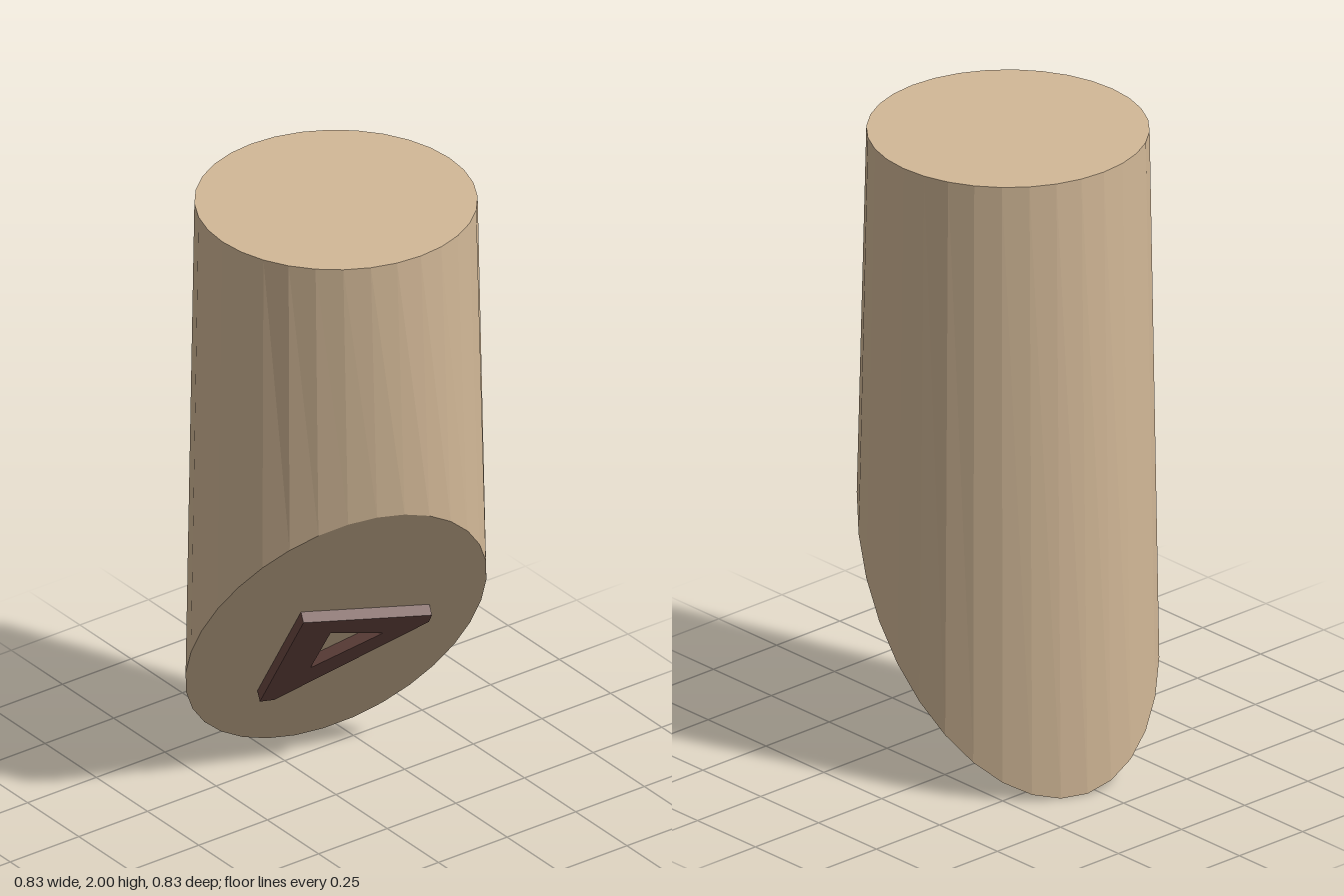
import * as THREE from 'three';

const SIDES = 32, TOP_R = 0.414, HEIGHT = 2;
// Slanted cut: y = CUT_Y + CUT_X * x + CUT_Z * z
const CUT_Y = 0.5675, CUT_X = 1.411, CUT_Z = 0.589;
// Half-widths of the lower outline along its two diagonals
const WIDE = 0.442, NARROW = 0.357;

// Round top ring, and the oval ring lying on the slanted cut
function topPoint(i) {
  const t = (i / SIDES) * Math.PI * 2;
  return [TOP_R * Math.cos(t), HEIGHT, TOP_R * Math.sin(t)];
}
function cutPoint(i) {
  const t = (i / SIDES) * Math.PI * 2, s = Math.SQRT1_2;
  const u = WIDE * s * (Math.cos(t) - Math.sin(t));
  const v = NARROW * s * (Math.cos(t) + Math.sin(t));
  const x = s * (u + v), z = s * (v - u);
  return [x, CUT_Y + CUT_X * x + CUT_Z * z, z];
}

function facets(triangles) {
  const g = new THREE.BufferGeometry();
  g.setAttribute('position', new THREE.Float32BufferAttribute(triangles.flat(), 3));
  g.computeVertexNormals();
  return g;
}

// Relief drawn in (-z, y), then laid onto the slanted cut
function reliefGeometry(outline, hole, depth) {
  const toVec = ([z, y]) => new THREE.Vector2(-z, y);
  const shape = new THREE.Shape(outline.map(toVec));
  shape.holes.push(new THREE.Path(hole.map(toVec)));
  const g = new THREE.ExtrudeGeometry(shape, { depth, bevelEnabled: false });
  const n = new THREE.Vector3(CUT_X, -1, CUT_Z).normalize();
  const p = g.attributes.position, v = new THREE.Vector3();
  for (let i = 0; i < p.count; i++) {
    const y = p.getY(i), z = -p.getX(i), w = p.getZ(i);
    const x = (y - CUT_Y - CUT_Z * z) / CUT_X + depth / n.x;
    v.set(x, y, z).addScaledVector(n, w - depth);
    p.setXYZ(i, v.x, v.y, v.z);
  }
  g.computeVertexNormals();
  return g;
}

export function createModel() {
  const group = new THREE.Group();
  group.name = 'slantedPost';

  const wood = new THREE.MeshStandardMaterial({ color: 0xd2b897 });
  wood.name = 'paleWood';
  const dark = new THREE.MeshStandardMaterial({ color: 0x694741 });
  dark.name = 'darkBrown';

  const add = (name, geometry, material) => {
    const mesh = new THREE.Mesh(geometry, material);
    mesh.name = name;
    group.add(mesh);
  };

  // Shaft, flat top and slanted cut
  const shaft = [], top = [], cut = [];
  for (let i = 0; i < SIDES; i++) {
    const a = topPoint(i), b = topPoint(i + 1), c = cutPoint(i), d = cutPoint(i + 1);
    shaft.push(a, b, c, b, d, c);
    top.push([0, HEIGHT, 0], b, a);
    cut.push([0, CUT_Y, 0], c, d);
  }
  add('shaft', facets(shaft), wood);
  add('topFace', facets(top), wood);
  add('slantedCut', facets(cut), wood);

  // Plain raised triangle on the cut
  const outline = [[0.11, 0.25], [0.07, 0.25], [-0.23, 0.57], [-0.225, 0.605], [0.15, 0.65]];
  const hole = [[0.03, 0.4], [-0.115, 0.54], [0.045, 0.575]];
  add('triangleRelief', reliefGeometry(outline, hole, 0.036), dark);

  return group;
}
